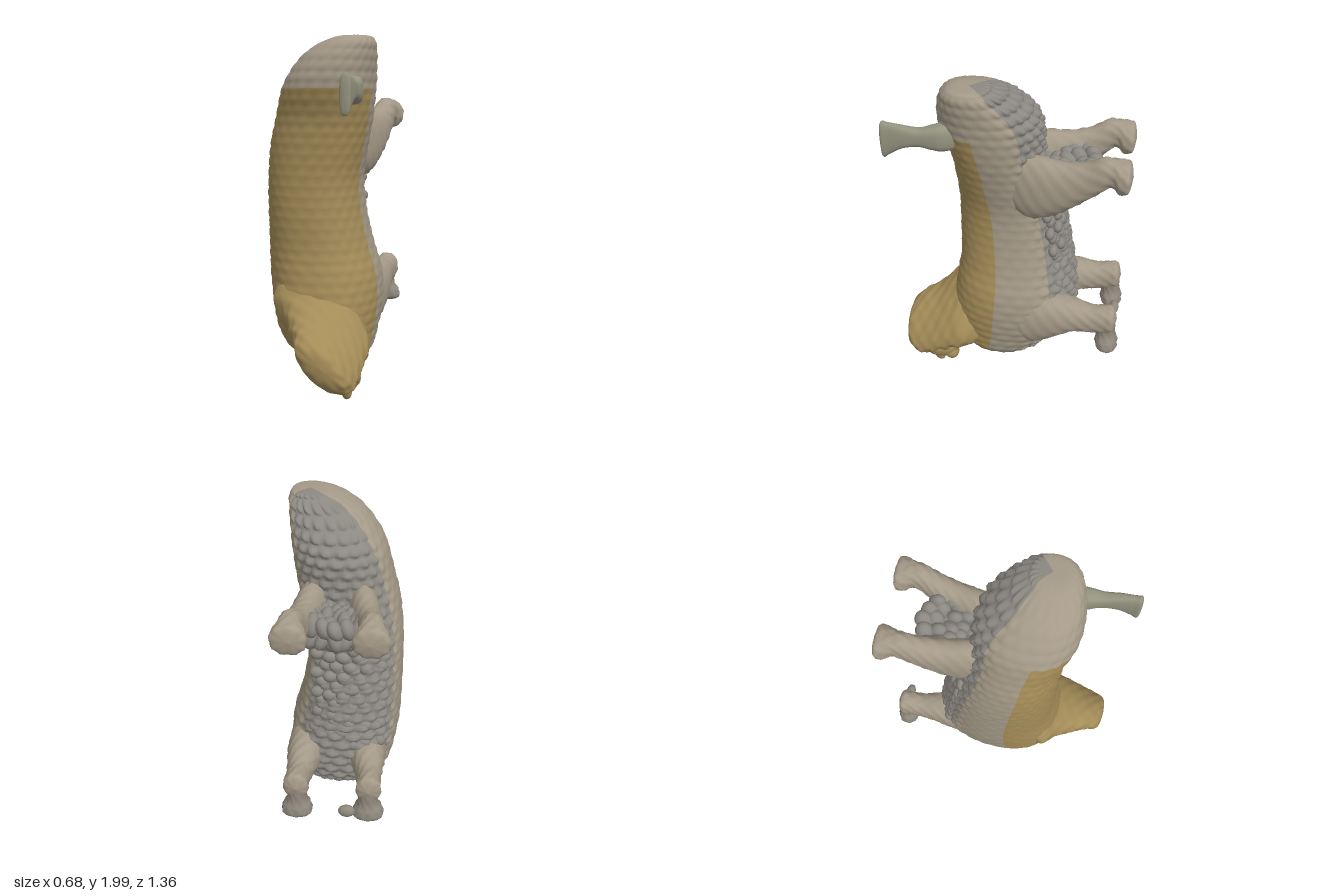
import * as THREE from 'three';

const mat = (color) => new THREE.MeshStandardMaterial({ color, roughness: 0.9 });
const OCHRE = mat(0xa48c58), TAN = mat(0xa59a88), FLEECE = mat(0xa29885), BELLY = mat(0x8c8882);
const HOOF = mat(0x8f887d), TAIL = mat(0x94937f), DARK = mat(0x37312b);
const MID = 0.035; // symmetry line of the legs

// Catmull-Rom through the rows of a section table
function sample(rows, u) {
  const f = u * (rows.length - 1), i = Math.min(Math.floor(f), rows.length - 2), t = f - i;
  const at = (k) => rows[Math.max(0, Math.min(rows.length - 1, k))];
  const [a, b, c, d] = [at(i - 1), at(i), at(i + 1), at(i + 2)];
  return b.map((_, k) => 0.5 * (2 * b[k] + (c[k] - a[k]) * t + (2 * a[k] - 5 * b[k] + 4 * c[k] - d[k]) * t * t
    + (3 * b[k] - a[k] - 3 * c[k] + d[k]) * t * t * t));
}

// Loft along 'y' or 'z'. Row: [position, xMin, xMax, otherMin, otherMax]; lean shears each section in x
function loft(rows, axis, rings, segs, { bump = () => 0, power = 0.9, lean = 0 } = {}) {
  const pos = [], idx = [];
  for (let i = 0; i <= rings; i++) {
    const [p, x0, x1, q0, q1] = sample(rows, i / rings);
    const fade = Math.min(1, (x1 - x0) / 0.1);
    for (let j = 0; j < segs; j++) {
      const a = (j / segs) * Math.PI * 2, c = Math.cos(a), s = Math.sin(a);
      const b = bump(p, a) * fade;
      const dq = Math.sign(s) * Math.abs(s) ** power * (q1 - q0) / 2 + s * b;
      const x = (x0 + x1) / 2 + Math.sign(c) * Math.abs(c) ** power * (x1 - x0) / 2 + c * b - lean * dq;
      const q = (q0 + q1) / 2 + dq;
      if (axis === 'y') pos.push(x, p, q); else pos.push(x, q, p);
    }
  }
  const flip = (axis === 'y') !== (rows[rows.length - 1][0] < rows[0][0]);
  for (let i = 0; i < rings; i++) for (let j = 0; j < segs; j++) {
    const a = i * segs + j, b = i * segs + (j + 1) % segs, c = a + segs, d = b + segs;
    if (flip) idx.push(a, c, b, b, c, d); else idx.push(a, b, c, b, d, c);
  }
  const g = new THREE.BufferGeometry();
  g.setAttribute('position', new THREE.Float32BufferAttribute(pos, 3));
  g.setIndex(idx);
  g.computeVertexNormals();
  return g;
}

function add(parent, name, geometry, material) {
  const m = new THREE.Mesh(geometry, material);
  m.name = name;
  parent.add(m);
  return m;
}

function blob(parent, name, material, p, r, rot = [0, 0, 0], detail = 18) {
  const m = add(parent, name, new THREE.SphereGeometry(1, detail, Math.ceil(detail * 0.7)), material);
  m.position.set(...p);
  m.scale.set(...r);
  m.rotation.set(...rot);
}

// Repeatable jitter in -0.5..0.5
const jitter = (r, c) => { const v = Math.sin(r * 12.99 + c * 78.23) * 437.58; return v - Math.floor(v) - 0.5; };

// Staggered wool lumps, strong on the underside and faint on the back
function wool(y, a) {
  const row = Math.floor(y / 0.06);
  const lump = Math.abs(Math.sin(y / 0.06 * Math.PI)) * Math.abs(Math.sin(a * 11 + (row % 2) * Math.PI / 2));
  const under = THREE.MathUtils.smoothstep(-Math.sin(a), 0.3, 0.85);
  return (0.006 + 0.026 * under) * (lump - 0.5);
}
const ripple = (p, a) => 0.005 * Math.sin(p * 75) * Math.sin(a * 9);

const BODY = [
  [0.115, 0.1, 0.1, 0.05, 0.05],
  [0.145, -0.06, 0.24, -0.1, 0.24],
  [0.2, -0.2, 0.29, -0.2, 0.32],
  [0.3, -0.27, 0.31, -0.31, 0.36],
  [0.4, -0.3, 0.325, -0.38, 0.38],
  [0.52, -0.32, 0.33, -0.39, 0.37],
  [0.65, -0.335, 0.315, -0.38, 0.35],
  [0.8, -0.34, 0.27, -0.35, 0.33],
  [1.0, -0.34, 0.23, -0.31, 0.33],
  [1.2, -0.335, 0.22, -0.26, 0.33],
  [1.4, -0.31, 0.255, -0.2, 0.34],
  [1.55, -0.27, 0.285, -0.17, 0.355],
  [1.7, -0.225, 0.305, -0.16, 0.4],
  [1.8, -0.17, 0.315, -0.12, 0.405],
  [1.9, -0.08, 0.325, -0.03, 0.385],
  [1.965, 0.03, 0.325, 0.05, 0.35],
  [1.995, 0.12, 0.3, 0.1, 0.3],
  [2.0, 0.21, 0.21, 0.2, 0.2],
];
const NECK = [
  [0.1, -0.08, 0.2, 0.25, 0.58],
  [0.28, -0.2, 0.28, 0.17, 0.62],
  [0.38, -0.12, 0.285, 0.15, 0.54],
  [0.48, -0.05, 0.28, 0.105, 0.455],
  [0.57, 0.005, 0.265, 0.08, 0.41],
  [0.63, 0.02, 0.25, 0.11, 0.365],
  [0.66, 0.065, 0.22, 0.16, 0.32],
  [0.672, 0.15, 0.15, 0.24, 0.24],
];
// Leg rows hold x as offsets from the symmetry line
const HIND = [
  [0.1, 0.05, 0.12, 1.28, 1.5],
  [-0.03, 0.04, 0.2, 1.22, 1.57],
  [-0.15, 0.05, 0.235, 1.2, 1.595],
  [-0.3, 0.085, 0.255, 1.28, 1.585],
  [-0.42, 0.12, 0.265, 1.38, 1.61],
  [-0.5, 0.14, 0.27, 1.45, 1.655],
  [-0.56, 0.14, 0.275, 1.5, 1.655],
  [-0.6, 0.12, 0.295, 1.465, 1.65],
  [-0.65, 0.12, 0.295, 1.48, 1.635],
  [-0.668, 0.2, 0.2, 1.56, 1.56],
];
const FORE = [
  [0.1, 0.05, 0.2, 0.35, 0.58],
  [-0.03, 0.04, 0.28, 0.3, 0.64],
  [-0.15, 0.05, 0.295, 0.28, 0.66],
  [-0.3, 0.07, 0.295, 0.36, 0.65],
  [-0.4, 0.1, 0.285, 0.42, 0.635],
  [-0.5, 0.13, 0.275, 0.43, 0.615],
  [-0.58, 0.14, 0.275, 0.44, 0.625],
  [-0.635, 0.14, 0.275, 0.46, 0.62],
  [-0.66, 0.205, 0.205, 0.545, 0.545],
];
const FOOT = [
  [0.57, 0.15, 0.26, -0.65, -0.54],
  [0.44, 0.15, 0.26, -0.655, -0.55],
  [0.38, 0.125, 0.29, -0.672, -0.54],
  [0.33, 0.125, 0.29, -0.67, -0.55],
  [0.308, 0.205, 0.205, -0.615, -0.615],
];
const TAIL_ROWS = [
  [0.2, 0.12, 0.22, 1.64, 1.76],
  [0.33, 0.17, 0.29, 1.625, 1.78],
  [0.4, 0.2, 0.3, 1.635, 1.77],
  [0.47, 0.225, 0.298, 1.65, 1.755],
  [0.56, 0.24, 0.302, 1.635, 1.77],
  [0.63, 0.245, 0.302, 1.595, 1.78],
  [0.67, 0.245, 0.302, 1.575, 1.78],
  [0.68, 0.272, 0.272, 1.68, 1.68],
];

export function createModel() {
  const root = new THREE.Group();
  root.name = 'sheep';

  // Body: one loft divided by colour into back, flanks, belly and rump
  const rings = 170, segs = 96;
  const full = loft(BODY, 'y', rings, segs, { bump: wool, power: 0.88 });
  const zones = { back: [], flanks: [], belly: [], rump: [] };
  const index = full.index.array;
  for (let q = 0; q < index.length; q += 6) {
    const quad = q / 6, s = Math.sin(((quad % segs) + 0.5) / segs * Math.PI * 2);
    const u = Math.floor(quad / segs) / rings;
    const zone = s < -0.62 ? 'belly' : u > 0.71 ? 'rump' : s > 0.2 ? 'back' : 'flanks';
    zones[zone].push(...index.slice(q, q + 6));
  }
  const body = new THREE.Group();
  body.name = 'body';
  root.add(body);
  const zoneMat = { back: OCHRE, flanks: FLEECE, belly: BELLY, rump: TAN };
  for (const name in zones) {
    const g = new THREE.BufferGeometry();
    g.setAttribute('position', full.attributes.position);
    g.setAttribute('normal', full.attributes.normal);
    g.setIndex(zones[name]);
    add(body, name, g, zoneMat[name]);
  }

  // Neck and head, curled down and towards the chest
  const head = new THREE.Group();
  head.name = 'head';
  root.add(head);
  add(head, 'neckAndSkull', loft(NECK, 'z', 60, 48, { bump: ripple, lean: 0.6 }), OCHRE);
  blob(head, 'muzzle', OCHRE, [0.235, 0.14, 0.44], [0.072, 0.085, 0.12], [0.15, 0, 0]);
  blob(head, 'nose', OCHRE, [0.245, 0.1, 0.37], [0.05, 0.05, 0.045]);
  blob(head, 'chin', OCHRE, [0.235, 0.055, 0.455], [0.03, 0.05, 0.035], [0.3, 0, 0]);
  blob(head, 'ear', OCHRE, [0.04, 0.2, 0.42], [0.035, 0.07, 0.055], [0.5, 0, 0.6]);
  blob(head, 'ear', OCHRE, [0.285, 0.22, 0.42], [0.025, 0.07, 0.055], [0.5, 0, 0.2]);
  blob(head, 'eye', DARK, [0.295, 0.14, 0.5], [0.014, 0.018, 0.02], [0, 0, 0], 10);
  blob(head, 'eye', DARK, [0.125, 0.14, 0.51], [0.016, 0.018, 0.02], [0, 0, 0], 10);

  // Tail
  add(root, 'tail', loft(TAIL_ROWS, 'z', 40, 24, { power: 0.7 }), TAIL);

  // Legs in mirrored pairs
  for (const side of [1, -1]) {
    const label = side > 0 ? 'left' : 'right';
    const place = (rows) => rows.map(([p, a, b, c, d]) =>
      side > 0 ? [p, MID + a, MID + b, c, d] : [p, MID - b, MID - a, c, d]);
    add(root, label + 'HindLeg', loft(place(HIND), 'z', 50, 32, { bump: ripple }), TAN);
    add(root, label + 'FrontLeg', loft(place(FORE), 'z', 50, 32, { bump: ripple }), TAN);
    add(root, label + 'FrontFoot', loft(place(FOOT), 'y', 28, 24, { bump: ripple }), HOOF);
  }
  blob(root, 'rightFrontToe', HOOF, [-0.05, 0.37, -0.635], [0.05, 0.04, 0.03]);

  // Lumpy wool between and below the hind legs, in a lower and an upper layer
  const udder = new THREE.Group();
  udder.name = 'udderWool';
  root.add(udder);
  for (let layer = 0; layer < 2; layer++) for (let r = 0; r < 5; r++) for (let c = -2; c <= 2; c++) {
    const k = jitter(r + layer * 7, c);
    const z = -0.2 - r * 0.06 + Math.abs(c) * 0.016 + k * 0.03;
    const y = 1.27 + r * 0.04 + layer * (0.17 - r * 0.025);
    blob(udder, 'woolLump', BELLY, [MID + (c + (r % 2) * 0.4 - 0.2) * 0.062, y, z],
      [0.042, 0.07 + k * 0.02, 0.052], [0.3 + k, 0, k], 10);
  }
  blob(udder, 'udderCore', BELLY, [MID, 1.38, -0.25], [0.14, 0.11, 0.2], [0.35, 0, 0]);

  // Wool knots down the belly
  for (let r = 0; r < 11; r++) for (let c = -2; c <= 2; c++) {
    const k = jitter(r, c);
    const y = 0.64 + r * 0.06 + k * 0.02, z = -0.35 + (y - 0.64) * 0.17 + c * c * 0.012;
    blob(body, 'woolKnot', BELLY, [-0.03 + (c + (r % 2) * 0.5 - 0.25 + k * 0.3) * 0.08, y, z],
      [0.042 + k * 0.01, 0.036, 0.03], [0, 0, k], 10);
  }
  return root;
}
